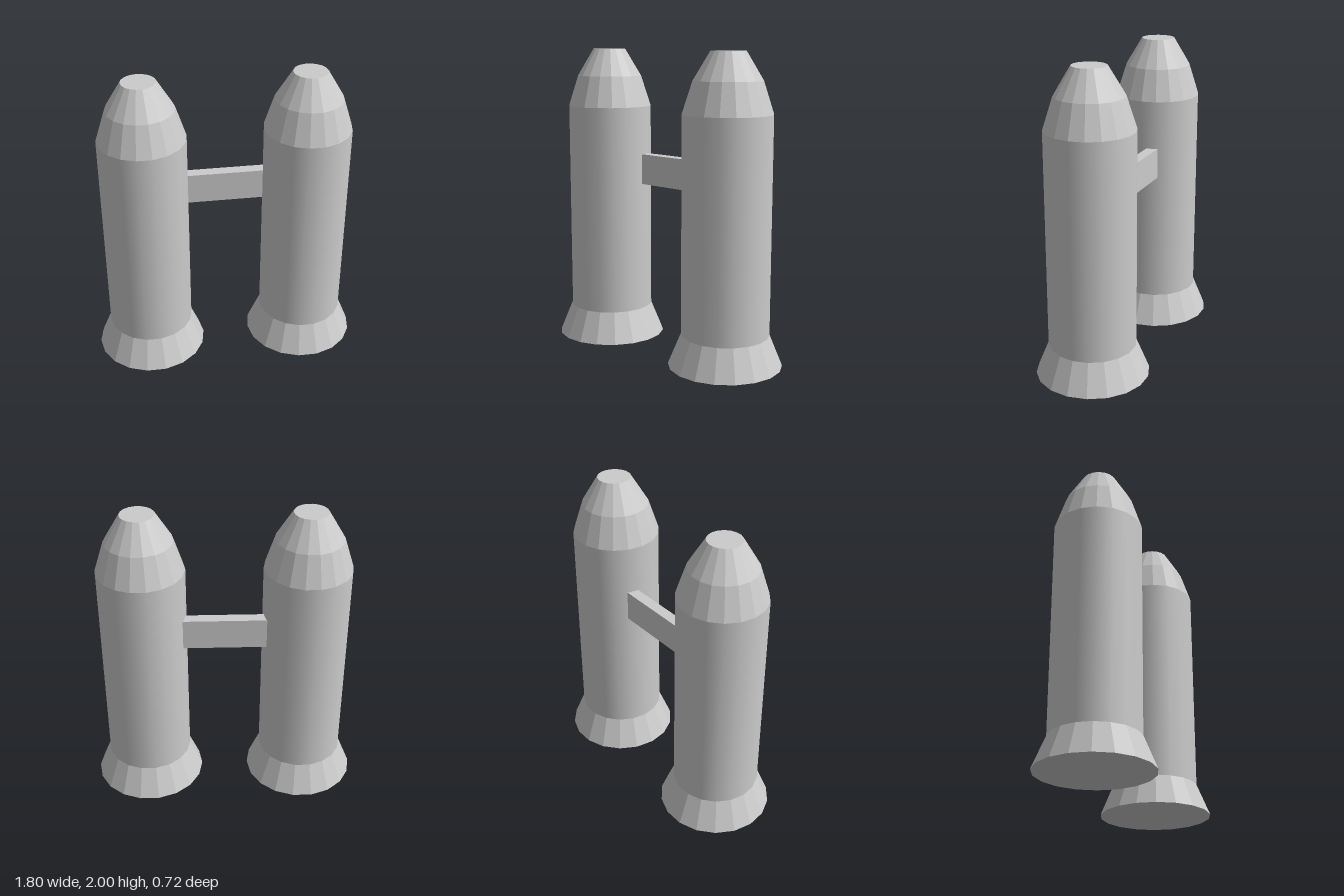
import * as THREE from 'three';

const SIDES = 18;
const smooth = new THREE.MeshStandardMaterial({ color: 0xcccccc });
const faceted = new THREE.MeshStandardMaterial({ color: 0xcccccc, flatShading: true });

// Open band of the rocket between two heights, with a vertex on the x axis
function band(name, y0, r0, y1, r1, material) {
  const geometry = new THREE.CylinderGeometry(r1, r0, y1 - y0, SIDES, 1, true, Math.PI / 2);
  const mesh = new THREE.Mesh(geometry, material);
  mesh.name = name;
  mesh.position.y = (y0 + y1) / 2;
  return mesh;
}

// Flat end disc facing up (dir = 1) or down (dir = -1)
function cap(name, y, r, dir) {
  const mesh = new THREE.Mesh(new THREE.CircleGeometry(r, SIDES), faceted);
  mesh.name = name;
  mesh.rotation.x = -dir * Math.PI / 2;
  mesh.position.y = y;
  return mesh;
}

function rocket(name, x) {
  const group = new THREE.Group();
  group.name = name;
  group.position.x = x;
  group.add(
    cap('basePlate', 0, 0.368, -1),
    band('flaredSkirt', 0, 0.368, 0.205, 0.284, faceted),
    band('body', 0.205, 0.284, 1.615, 0.284, smooth),
    band('noseLower', 1.615, 0.284, 1.82, 0.218, faceted),
    band('noseUpper', 1.82, 0.218, 2, 0.11, faceted),
    cap('noseTip', 2, 0.11, 1)
  );
  return group;
}

export function createModel() {
  const model = new THREE.Group();
  model.name = 'twinRockets';
  model.add(rocket('leftRocket', 0.53), rocket('rightRocket', -0.53));

  // Cross strut, set slightly behind the centre line
  const strut = new THREE.Mesh(new THREE.BoxGeometry(0.6, 0.205, 0.075), faceted);
  strut.name = 'strut';
  strut.position.set(0, 1.19, -0.073);
  model.add(strut);
  return model;
}
